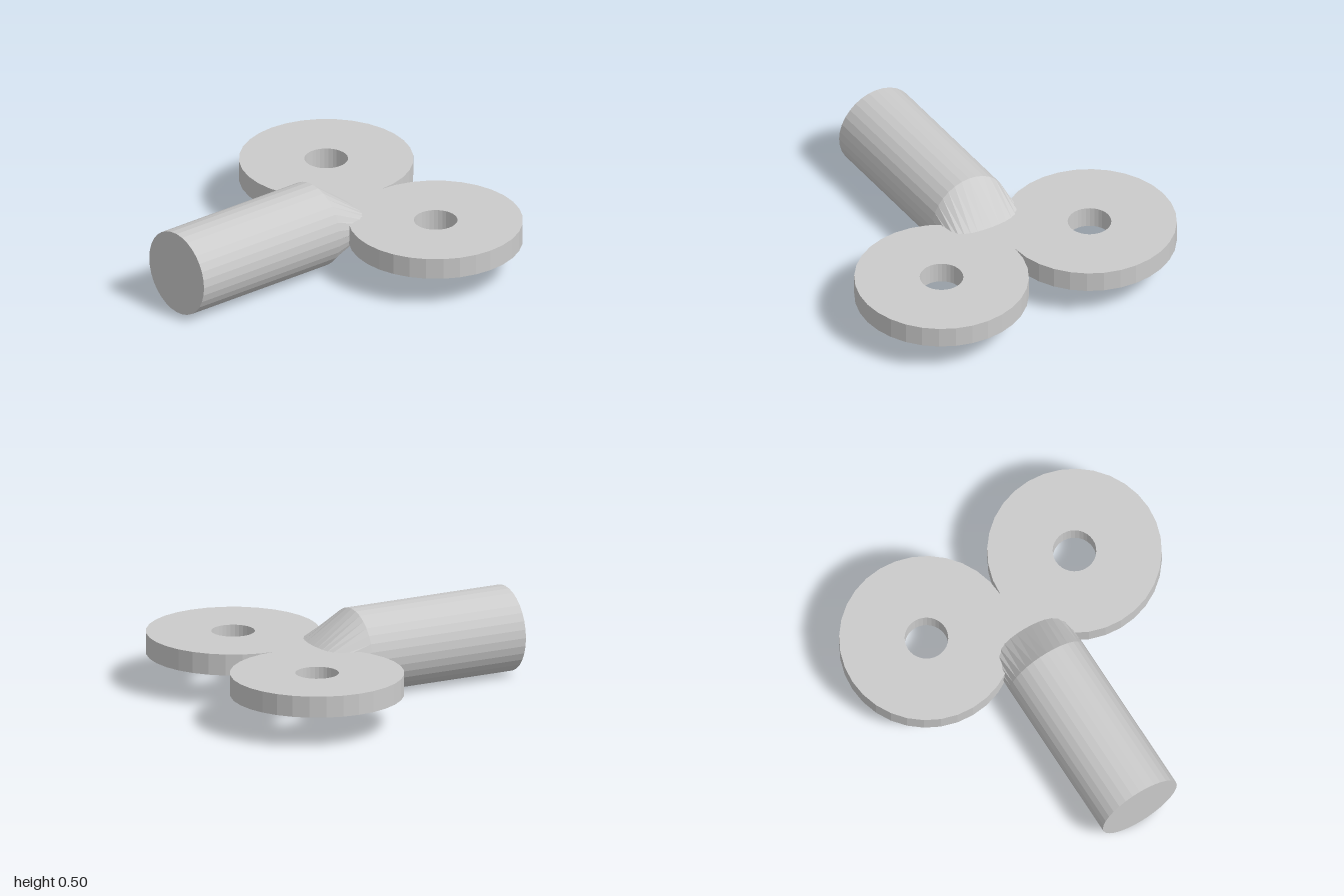
import * as THREE from 'three';

const SIDES = 32;
const MID = 0.25;    // height of the centre line
const THICK = 0.125; // plate thickness

export function createModel() {
  const model = new THREE.Group();
  const material = new THREE.MeshStandardMaterial({ color: 0xcccccc, flatShading: true });

  const add = (name, geometry, x, z = 0) => {
    const mesh = new THREE.Mesh(geometry, material);
    mesh.name = name;
    mesh.position.set(x, MID, z);
    model.add(mesh);
  };

  // Round shaft lying along x
  const shaft = new THREE.CylinderGeometry(0.25, 0.25, 1, SIDES).rotateZ(-Math.PI / 2);
  add('shaft', shaft, -0.5);

  // Shaft end flattened to the plate thickness, keeping its full width
  const taper = new THREE.CylinderGeometry(0.25, 0.25, 0.25, SIDES).rotateZ(-Math.PI / 2);
  const p = taper.attributes.position;
  for (let i = 0; i < p.count; i++) {
    if (p.getX(i) > 0) p.setY(i, p.getY(i) * 0.25);
  }
  taper.computeVertexNormals();
  add('taperedNeck', taper, 0.125);

  // Web filling the gap between the neck and the two rings
  add('web', new THREE.BoxGeometry(0.4, THICK, 0.48), 0.3);

  // Pair of flat discs with round holes
  const circle = (r) => Array.from({ length: SIDES }, (_, i) => {
    const a = (i / SIDES) * Math.PI * 2;
    return new THREE.Vector2(r * Math.cos(a), r * Math.sin(a));
  });
  const disc = new THREE.Shape(circle(0.5));
  disc.holes.push(new THREE.Path(circle(0.125)));
  const ring = new THREE.ExtrudeGeometry(disc, { depth: THICK, bevelEnabled: false });
  ring.translate(0, 0, -THICK / 2).rotateX(-Math.PI / 2);
  add('frontRing', ring, 0.5, 0.5);
  add('backRing', ring, 0.5, -0.5);

  return model;
}
